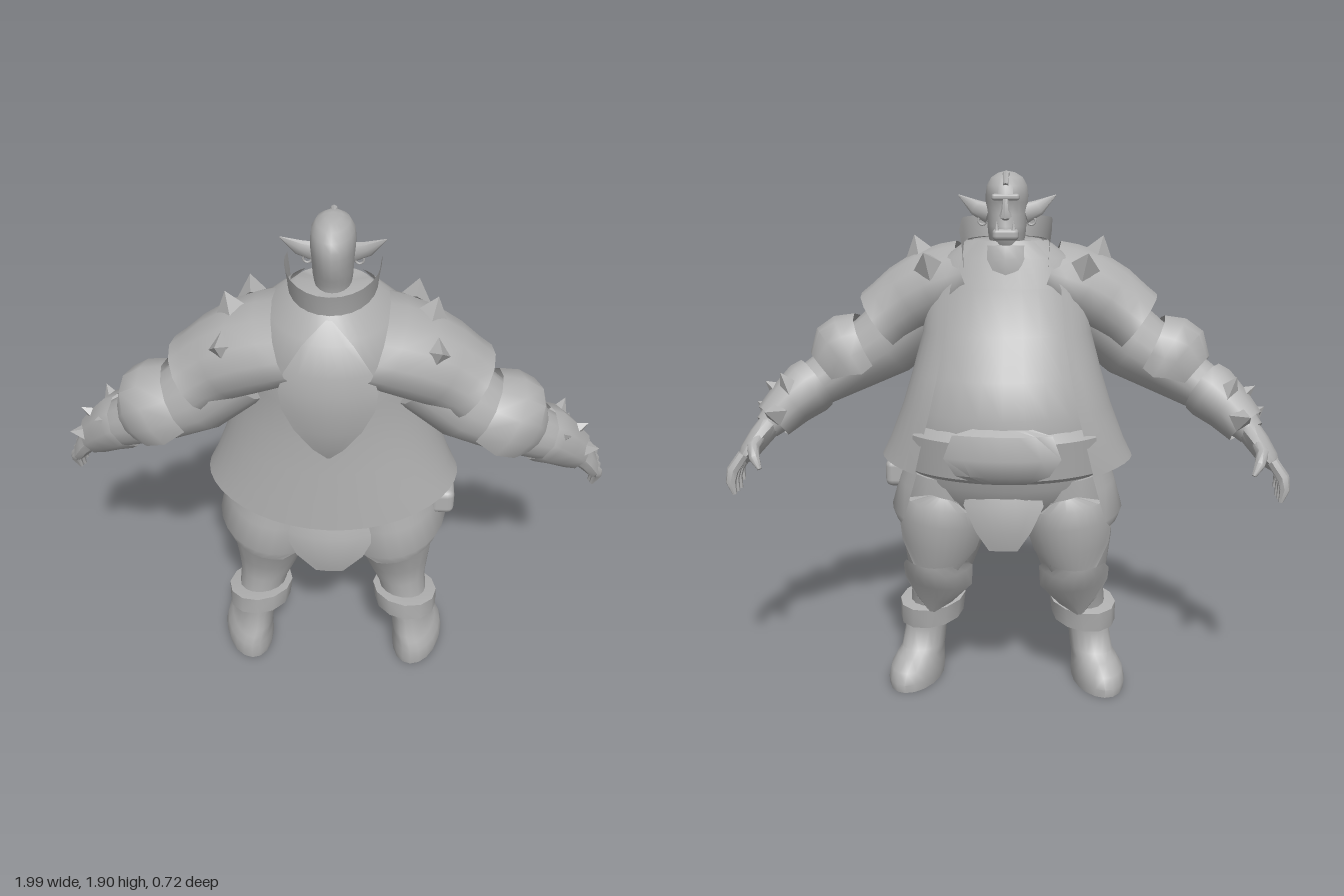
import * as THREE from 'three';
import { toCreasedNormals } from 'three/addons/utils/BufferGeometryUtils.js';
import { RoundedBoxGeometry } from 'three/addons/geometries/RoundedBoxGeometry.js';

const V = (x, y, z) => new THREE.Vector3(x, y, z);
const PI = Math.PI;

// Skin a list of point rows; closed rows wrap round and are capped at both ends.
function loft(rows, closed = true) {
  const n = rows[0].length, pos = [], idx = [];
  rows.forEach(r => r.forEach(p => pos.push(p.x, p.y, p.z)));
  const m = closed ? n : n - 1;
  for (let i = 0; i < rows.length - 1; i++) {
    for (let j = 0; j < m; j++) {
      const a = i * n + j, b = i * n + (j + 1) % n;
      idx.push(a, b, a + n, b, b + n, a + n);
    }
  }
  if (closed) {
    [0, rows.length - 1].forEach((r, k) => {
      const c = rows[r].reduce((s, p) => s.add(p), V(0, 0, 0)).divideScalar(n);
      const ci = pos.length / 3;
      pos.push(c.x, c.y, c.z);
      for (let j = 0; j < n; j++) {
        const a = r * n + j, b = r * n + (j + 1) % n;
        k ? idx.push(a, b, ci) : idx.push(b, a, ci);
      }
    });
  }
  const g = new THREE.BufferGeometry();
  g.setAttribute('position', new THREE.Float32BufferAttribute(pos, 3));
  g.setIndex(idx);
  return toCreasedNormals(g, 0.75);
}

// Limb along points [x, y, z, radius across, radius in depth, half angle];
// a half angle gives an open plate centred on the direction "mid".
function limb(pts, n = 12, mid = 0) {
  const open = pts[0][5] !== undefined;
  const rows = pts.map((p, i) => {
    const q = pts[Math.max(i - 1, 0)], r = pts[Math.min(i + 1, pts.length - 1)];
    const t = V(r[0] - q[0], r[1] - q[1], r[2] - q[2]).normalize();
    const b = V(0, 0, 1).addScaledVector(t, -t.z).normalize();
    const a = b.clone().cross(t);
    return Array.from({ length: open ? n + 1 : n }, (_, j) => {
      const th = open ? mid + p[5] * (2 * j / n - 1) : 2 * PI * j / n;
      return V(p[0], p[1], p[2]).addScaledVector(a, p[3] * Math.cos(th)).addScaledVector(b, p[4] * Math.sin(th));
    });
  });
  return loft(rows, !open);
}

// Level rings [y, x radius, front radius, back radius, x centre, z centre], bottom first.
// Angle 0 is +z; "bend" may adjust every point.
function hoops(list, n = 20, from = 0, to = 2 * PI, bend = null) {
  const closed = to - from > 6.28;
  const rows = list.map(([y, rx, f, b, xc = 0, zc = 0], i) =>
    Array.from({ length: closed ? n : n + 1 }, (_, j) => {
      const th = from + (to - from) * j / n, c = Math.cos(th);
      const p = V(xc + rx * Math.sin(th), y, zc + c * (c < 0 ? f : b));
      if (bend) bend(p, th, i);
      return p;
    }));
  return loft(rows, closed);
}

// Curved hanging plate from rows [y, half width, z], top first.
function plate(list, s = 1, curve = 1.6) {
  return loft(list.map(([y, w, z]) => [-3, -2, -1, 0, 1, 2, 3].map(k => {
    const x = -k * w / 3 * s;
    return V(x, y, s * (z - curve * x * x));
  })), false);
}

export function createModel() {
  const model = new THREE.Group();
  model.name = 'armouredBrute';
  const clay = new THREE.MeshStandardMaterial({ color: 0xb0b0b0, side: THREE.DoubleSide });
  clay.name = 'grey clay';
  const add = (parent, name, geo) => {
    const m = new THREE.Mesh(geo, clay);
    m.name = name;
    parent.add(m);
    return m;
  };
  const spike = (parent, p, d, r = 0.06, h = 0.08) => {
    const m = add(parent, 'spike', new THREE.ConeGeometry(r, h, 4).toNonIndexed());
    m.geometry.computeVertexNormals();
    const dir = V(...d).normalize();
    m.quaternion.setFromUnitVectors(V(0, 1, 0), dir);
    m.position.set(...p).addScaledVector(dir, h * 0.4);
  };

  // Body and hips
  add(model, 'belly', hoops([
    [0.64, 0.16, 0.14, 0.14], [0.72, 0.33, 0.23, 0.22], [0.82, 0.37, 0.28, 0.25], [0.95, 0.38, 0.315, 0.27],
    [1.08, 0.36, 0.32, 0.27], [1.2, 0.32, 0.28, 0.27], [1.34, 0.29, 0.19, 0.27],
    [1.5, 0.26, 0.13, 0.26], [1.6, 0.2, 0.11, 0.24], [1.66, 0.12, 0.09, 0.18]], 28));
  // Open coat with a dipping hem
  add(model, 'coat', hoops([
    [0.84, 0.455, 0.31, 0.31], [0.95, 0.425, 0.32, 0.305], [1.08, 0.375, 0.322, 0.3], [1.2, 0.338, 0.283, 0.295],
    [1.34, 0.3, 0.193, 0.3], [1.5, 0.28, 0.138, 0.315], [1.6, 0.22, 0.116, 0.3], [1.66, 0.14, 0.095, 0.23]],
  32, -0.76 * PI, 0.76 * PI, (p, th, i) => { if (!i) p.y += 0.05 * Math.sin(th) ** 2; }));
  add(model, 'backShield', plate([[1.66, 0.01, 0.26], [1.6, 0.08, 0.32], [1.5, 0.14, 0.345], [1.43, 0.16, 0.355],
    [1.36, 0.15, 0.352], [1.28, 0.11, 0.34], [1.2, 0.05, 0.32], [1.15, 0.004, 0.298]]));
  // Belt, buckle and loincloths
  add(model, 'belt', hoops([[0.85, 0.37, 0.29, 0.27], [0.87, 0.395, 0.325, 0.28], [1.0, 0.395, 0.345, 0.28], [1.03, 0.37, 0.315, 0.27]],
    18, 0.7 * PI, 1.3 * PI));
  add(model, 'buckle', plate([[1.05, 0.1, 0.315], [1.03, 0.17, 0.345], [0.95, 0.2, 0.362], [0.89, 0.16, 0.35], [0.86, 0.09, 0.315]], -1, 1));
  const cloth = (w, s) => plate([[0.84, w, 0.25], [0.76, w + 0.02, 0.275], [0.67, w * 0.8, 0.28], [0.6, 0.05, 0.265]], s);
  add(model, 'backLoincloth', cloth(0.15, 1));
  add(model, 'frontLoincloth', cloth(0.12, -1));
  add(model, 'pouch', new RoundedBoxGeometry(0.09, 0.1, 0.17, 2, 0.025)).position.set(0.4, 0.815, 0.035);

  // Tall open collar with straight front edges, and scarf
  add(model, 'collar', hoops([[1.62, 0.145, 0.13, 0.225], [1.68, 0.15, 0.14, 0.235], [1.735, 0.158, 0.15, 0.25]],
    20, -0.75 * PI, 0.75 * PI, (p, th, i) => {
      const c = Math.cos(th);
      if (c < 0) {
        p.x = Math.sign(p.x) * [0.145, 0.15, 0.158][i];
        p.y += c * [0.1, 0.06, 0.05][i];
      }
    }));
  add(model, 'scarf', hoops([[1.54, 0.14, 0.12, 0.15], [1.6, 0.12, 0.125, 0.14], [1.645, 0.1, 0.11, 0.12], [1.65, 0.06, 0.07, 0.08]], 18));

  // Head
  const head = new THREE.Group();
  head.name = 'head';
  model.add(head);
  add(head, 'skull', hoops([
    [1.6, 0.06, 0.07, 0.09], [1.65, 0.06, 0.1, 0.09], [1.685, 0.066, 0.115, 0.1], [1.71, 0.068, 0.112, 0.11],
    [1.75, 0.07, 0.1, 0.125], [1.79, 0.074, 0.1, 0.13], [1.815, 0.074, 0.112, 0.13], [1.845, 0.07, 0.1, 0.12],
    [1.872, 0.055, 0.075, 0.095], [1.888, 0.03, 0.045, 0.055], [1.893, 0.008, 0.01, 0.01]], 18));
  add(head, 'brow', new RoundedBoxGeometry(0.095, 0.022, 0.04, 2, 0.009)).position.set(0, 1.808, -0.093);
  add(head, 'nose', limb([[0, 1.8, -0.105, 0.01, 0.01], [0, 1.765, -0.115, 0.014, 0.014], [0, 1.745, -0.112, 0.022, 0.017], [0, 1.738, -0.1, 0.012, 0.01]], 8));
  add(head, 'jaw', new RoundedBoxGeometry(0.09, 0.04, 0.05, 2, 0.015)).position.set(0, 1.683, -0.095);
  add(head, 'crest', limb([[0, 1.845, -0.095, 0.01, 0.012], [0, 1.882, -0.05, 0.013, 0.015], [0, 1.882, 0.01, 0.012, 0.012]], 8));

  for (const s of [1, -1]) {
    const half = new THREE.Group();
    half.name = s > 0 ? 'leftSide' : 'rightSide';
    half.scale.x = s;
    model.add(half);

    // Ear, earring and tusk
    add(half, 'ear', limb([[0.06, 1.75, -0.02, 0.035, 0.02], [0.11, 1.77, -0.005, 0.027, 0.012], [0.17, 1.812, 0.01, 0.002, 0.002]], 8));
    add(half, 'earring', new THREE.TorusGeometry(0.014, 0.004, 6, 12)).position.set(0.085, 1.725, -0.015);
    add(half, 'tusk', new THREE.ConeGeometry(0.008, 0.035, 6)).position.set(0.028, 1.715, -0.118);

    // Arm, elbow pad and bracer
    add(half, 'arm', limb([[0.3, 1.4, 0.12, 0.135, 0.14], [0.45, 1.28, 0.12, 0.135, 0.14], [0.58, 1.2, 0.11, 0.11, 0.12],
      [0.7, 1.13, 0.08, 0.09, 0.1], [0.8, 1.06, 0.03, 0.075, 0.085], [0.88, 0.98, -0.02, 0.05, 0.06]], 14));
    add(half, 'pauldron', limb([[0.145, 1.525, 0.12, 0.13, 0.23, PI], [0.2, 1.505, 0.12, 0.14, 0.22, PI], [0.28, 1.475, 0.12, 0.145, 0.205, PI],
      [0.36, 1.43, 0.115, 0.14, 0.18, PI], [0.42, 1.385, 0.11, 0.132, 0.165, PI], [0.46, 1.355, 0.11, 0.13, 0.172, PI]], 14));
    add(half, 'elbowPad', limb([[0.51, 1.26, 0.12, 0.135, 0.15, 2], [0.57, 1.23, 0.12, 0.16, 0.165, 2],
      [0.62, 1.2, 0.105, 0.155, 0.155, 1.9], [0.67, 1.16, 0.09, 0.1, 0.11, 1.8]], 8));
    add(half, 'bracer', limb([[0.71, 1.13, 0.075, 0.1, 0.11, PI], [0.74, 1.11, 0.06, 0.105, 0.11, PI],
      [0.8, 1.06, 0.03, 0.09, 0.1, PI], [0.86, 1.0, -0.005, 0.075, 0.085, PI]], 10));
    spike(half, [0.27, 1.57, -0.045], [0.2, 0.7, -0.7]);
    spike(half, [0.32, 1.6, 0.11], [0.3, 1, 0]);
    spike(half, [0.335, 1.54, 0.245], [0.25, 0.5, 0.8]);
    [[0.79, 1.13, 0.1, 0.4, 0.5, 0.7], [0.79, 1.13, -0.02, 0.4, 0.9, -0.4], [0.84, 1.1, 0.03, 0.8, 0.6, 0.1],
      [0.83, 1.04, -0.075, 0.4, 0.3, -0.9], [0.885, 1.03, 0.04, 0.8, 0.4, 0.5]]
      .forEach(k => spike(half, k.slice(0, 3), k.slice(3), 0.044, 0.075));

    // Hand
    add(half, 'palm', limb([[0.86, 1.0, -0.005, 0.045, 0.055], [0.9, 0.95, -0.05, 0.042, 0.075], [0.935, 0.9, -0.085, 0.035, 0.09], [0.955, 0.875, -0.1, 0.02, 0.075]], 10));
    for (let i = 0; i < 4; i++) {
      const z = -0.035 - 0.04 * i, l = i === 0 ? 0.02 : 0;
      add(half, 'finger', limb([[0.935, 0.91, z, 0.02, 0.02], [0.972, 0.855, z - 0.015, 0.022, 0.021],
        [0.978, 0.815 + l, z - 0.025, 0.019, 0.018], [0.965, 0.77 + l, z - 0.03, 0.008, 0.008]], 7));
    }
    add(half, 'thumb', limb([[0.89, 0.96, -0.08, 0.025, 0.03], [0.9, 0.935, -0.15, 0.023, 0.023], [0.885, 0.905, -0.19, 0.019, 0.019], [0.865, 0.87, -0.205, 0.008, 0.008]], 8));

    // Leg, thigh armour and hip flap
    add(half, 'leg', limb([[0.2, 0.84, 0, 0.18, 0.23], [0.215, 0.7, 0, 0.175, 0.225], [0.24, 0.57, -0.01, 0.148, 0.19],
      [0.255, 0.45, 0, 0.118, 0.135], [0.27, 0.37, 0.02, 0.092, 0.1], [0.285, 0.28, 0.035, 0.085, 0.09]], 16));
    add(half, 'thighPlate', limb([[0.21, 0.78, 0, 0.15, 0.235, 0.3], [0.22, 0.74, 0, 0.18, 0.255, 0.85], [0.23, 0.66, 0, 0.18, 0.255, 1.05],
      [0.24, 0.57, -0.01, 0.16, 0.23, 1], [0.25, 0.5, -0.01, 0.14, 0.2, 0.6]], 10, -PI / 2));
    add(half, 'kneeGuard', limb([[0.25, 0.55, -0.01, 0.15, 0.215, 0.8], [0.25, 0.49, 0, 0.14, 0.215, 1.15], [0.25, 0.42, 0, 0.14, 0.18, 1.1],
      [0.265, 0.37, 0, 0.11, 0.14, 0.7], [0.27, 0.33, 0.01, 0.1, 0.12, 0.1]], 8, -PI / 2));
    add(half, 'hipFlap', limb([[0.19, 0.88, 0, 0.17, 0.24, 1.5], [0.205, 0.78, 0, 0.19, 0.25, 1.5],
      [0.22, 0.67, 0, 0.205, 0.262, 1.45], [0.228, 0.63, 0, 0.185, 0.245, 1.25]], 12, PI / 5));

    // Boot with folded cuff
    const toeOut = p => { p.x -= p.z * 0.15; };
    add(half, 'boot', hoops([[0, 0.094, 0.17, 0.165, 0.345], [0.03, 0.098, 0.172, 0.168, 0.345], [0.07, 0.093, 0.155, 0.165, 0.342],
      [0.105, 0.083, 0.11, 0.155, 0.332], [0.13, 0.078, 0.075, 0.145, 0.322], [0.2, 0.076, 0.045, 0.13, 0.312], [0.29, 0.09, 0.065, 0.14, 0.295]], 18, 0, 2 * PI, toeOut));
    add(half, 'bootCuff', hoops([[0.245, 0.085, 0.09, 0.09, 0.29, 0.04], [0.24, 0.12, 0.125, 0.125, 0.29, 0.04],
      [0.315, 0.125, 0.13, 0.13, 0.285, 0.035], [0.32, 0.085, 0.09, 0.09, 0.285, 0.035]], 12, 0, 2 * PI,
    p => { p.y += -0.12 * (p.x - 0.29) + 0.12 * (p.z - 0.04); }));
  }
  return model;
}
